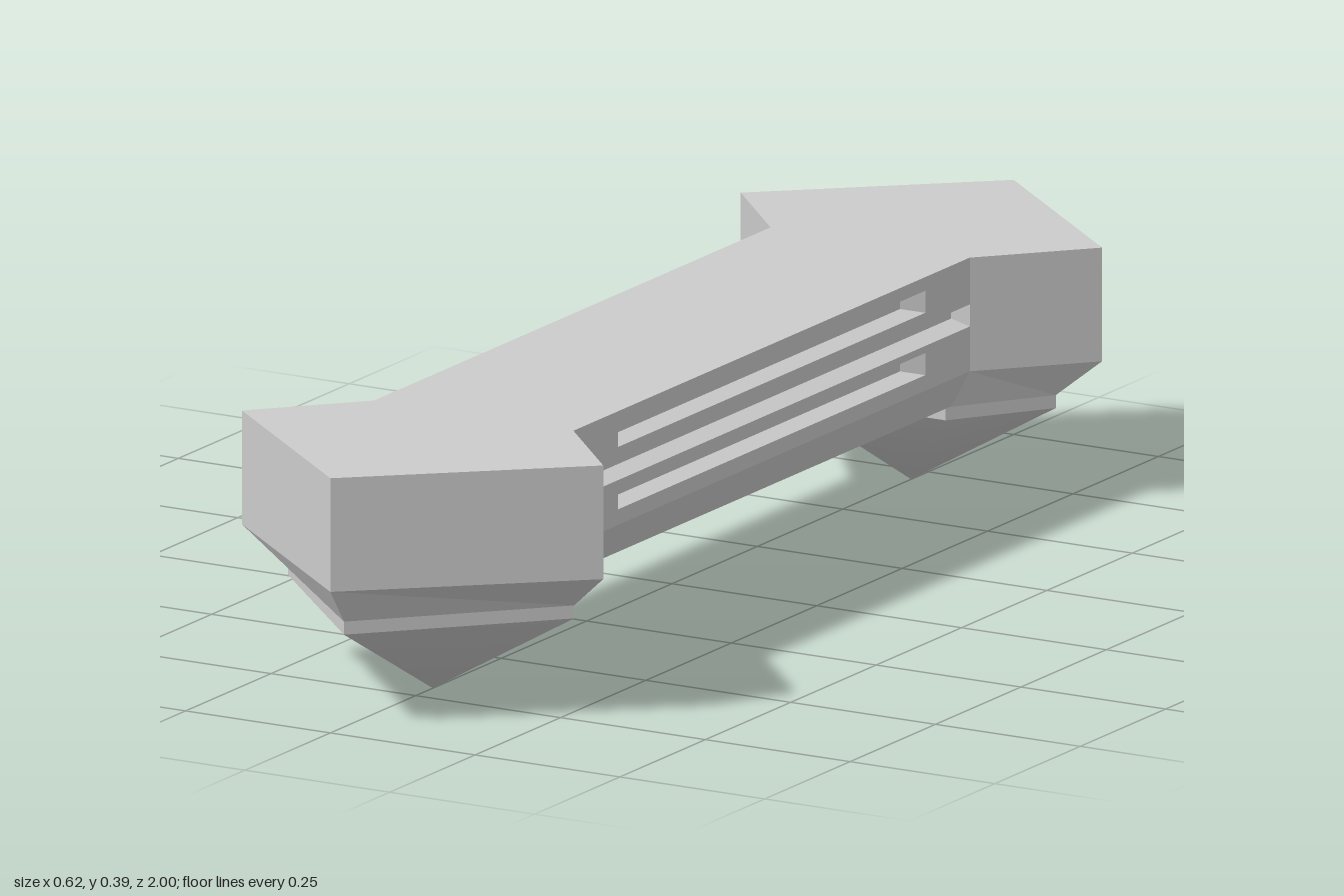
import * as THREE from 'three';
import { mergeVertices } from 'three/addons/utils/BufferGeometryUtils.js';

const TOP = 0.392, BEAM_X = 0.172, BEAM_Z = 0.58, INNER_X = 0.14;
const material = new THREE.MeshStandardMaterial({ color: 0xcccccc });

const part = (name, geometry) => {
  const mesh = new THREE.Mesh(geometry, material);
  mesh.name = name;
  return mesh;
};

// Joins successive rows of points with flat faces
function loft(rows, closed = true) {
  const pos = [];
  const tri = (a, b, c) => {
    const same = (p, q) => p.every((v, k) => v === q[k]);
    if (!same(a, b) && !same(b, c) && !same(c, a)) pos.push(...a, ...b, ...c);
  };
  for (let r = 0; r < rows.length - 1; r++) {
    const n = rows[r].length;
    for (let i = 0; i < (closed ? n : n - 1); i++) {
      const j = (i + 1) % n;
      tri(rows[r][i], rows[r + 1][i], rows[r + 1][j]);
      tri(rows[r][i], rows[r + 1][j], rows[r][j]);
    }
  }
  const g = new THREE.BufferGeometry();
  g.setAttribute('position', new THREE.Float32BufferAttribute(pos, 3));
  g.computeVertexNormals();
  return g;
}

// Five-sided, arrow-shaped ring: nose, side corners, inner corners
const arrow = (y, nose, sideX, sideZ, backX, backZ) => [
  [0, y, nose], [sideX, y, sideZ], [backX, y, backZ], [-backX, y, backZ], [-sideX, y, sideZ],
];

function makeHead() {
  const head = new THREE.Group();
  const collarTop = arrow(0.162, 0.96, 0.247, 0.705, 0.142, 0.56);
  const collarBottom = arrow(0.142, 0.96, 0.247, 0.705, 0.142, 0.56);
  head.add(part('headBlock', loft([
    arrow(TOP, 1, 0.312, 0.73, BEAM_X, BEAM_Z),
    arrow(0.217, 1, 0.312, 0.73, BEAM_X, BEAM_Z),
    collarTop, collarBottom,
  ])));
  // Pointed foot with softly shaded facets
  const apex = collarBottom.map(() => [0, 0, 0.7]);
  const foot = loft([collarBottom, apex]);
  foot.deleteAttribute('normal');
  const smooth = mergeVertices(foot);
  smooth.computeVertexNormals();
  head.add(part('pointedFoot', smooth));
  return head;
}

function makeSide() {
  const side = new THREE.Group();
  const strip = (profile) => loft(profile.map(([x, y]) => [[x, y, BEAM_Z], [x, y, -BEAM_Z]]), false);
  side.add(part('centreGroove', strip([[BEAM_X, 0.32], [INNER_X, 0.308], [INNER_X, 0.294], [BEAM_X, 0.286]])));
  side.add(part('beamUnderside', strip([[BEAM_X, 0.217], [0.148, 0.163], [0, 0.163]])));

  const rect = (z, y0, y1) => [[z, y0], [z, y1], [-z, y1], [-z, y0]];
  const points = (list) => list.map(([a, b]) => new THREE.Vector2(a, b));
  // Two flat panels, each with a tapered slot: panel bottom, panel top, slot bottom, slot top
  for (const [p0, p1, s0, s1] of [[0.32, TOP, 0.337, 0.371], [0.217, 0.286, 0.241, 0.275]]) {
    const shape = new THREE.Shape(points(rect(BEAM_Z, p0, p1)));
    shape.holes.push(new THREE.Path(points(rect(0.45, s0, s1))));
    const panel = new THREE.ShapeGeometry(shape).rotateY(Math.PI / 2).translate(BEAM_X, 0, 0);
    side.add(part('sidePanel', panel));
    const ring = (x, z, y0, y1) => rect(z, y0, y1).map(([pz, py]) => [x, py, pz]);
    const mid = (s0 + s1) / 2;
    side.add(part('slot', loft([
      ring(BEAM_X, 0.45, s0, s1),
      ring(INNER_X, 0.43, s0 + 0.006, s1 - 0.01),
      ring(INNER_X, 0, mid, mid),
    ])));
  }
  return side;
}

export function createModel() {
  const model = new THREE.Group();
  model.name = 'doubleArrowBar';

  // Flat top shared by the beam and both heads
  const half = [[-BEAM_X, BEAM_Z], [-0.312, 0.73], [0, 1], [0.312, 0.73], [BEAM_X, BEAM_Z]];
  const outline = [...half, ...half.map(([x, z]) => [-x, -z])];
  const deck = new THREE.ShapeGeometry(new THREE.Shape(outline.map(([x, z]) => new THREE.Vector2(x, z))));
  model.add(part('topDeck', deck.rotateX(-Math.PI / 2).translate(0, TOP, 0)));

  // Each end and each side is the other one turned half round
  for (const [turn, end, flank] of [[0, 'frontHead', 'leftSide'], [Math.PI, 'backHead', 'rightSide']]) {
    const head = makeHead(), side = makeSide();
    head.name = end;
    side.name = flank;
    head.rotation.y = side.rotation.y = turn;
    model.add(head, side);
  }
  return model;
}
